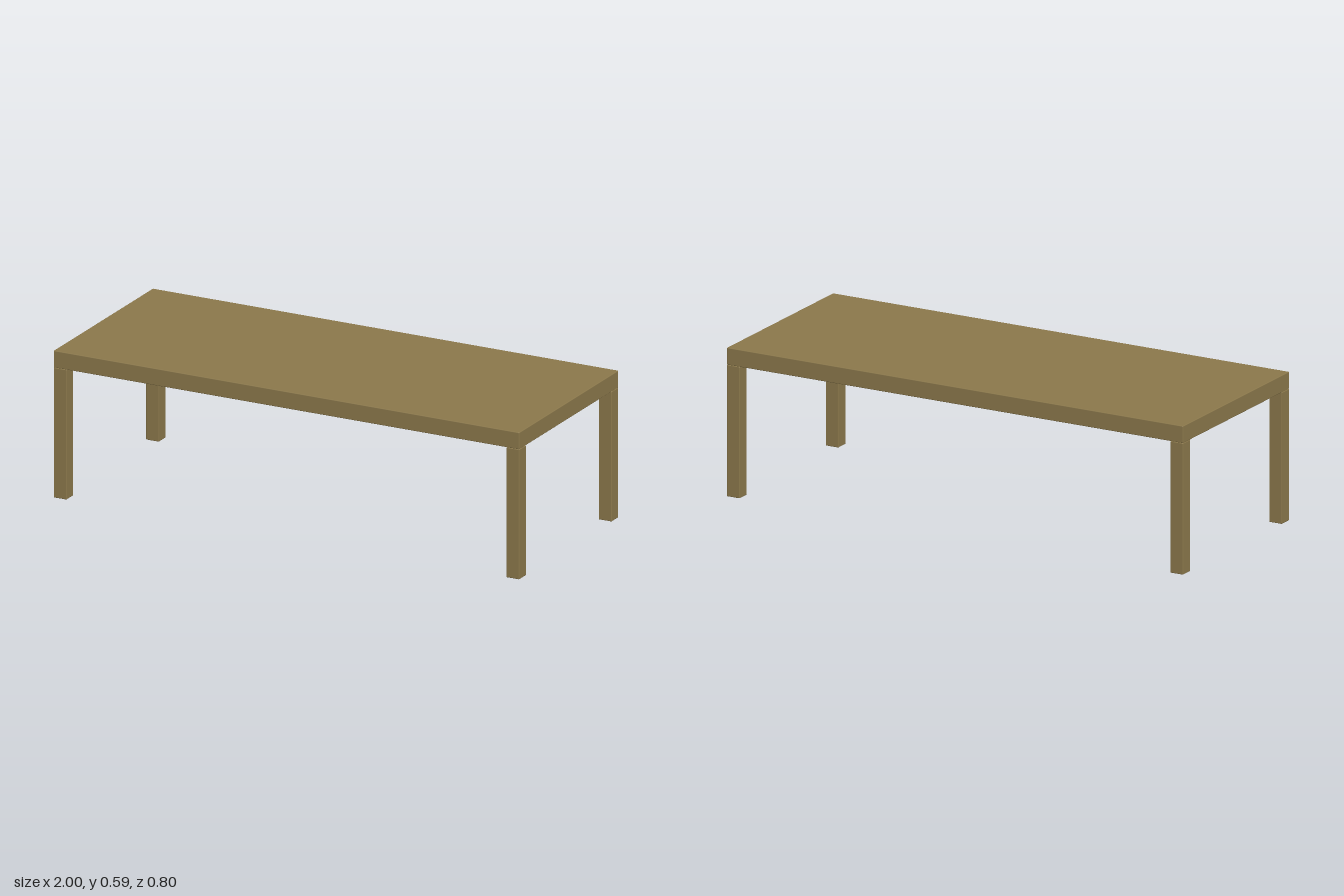
import * as THREE from 'three';
import { RoundedBoxGeometry } from 'three/addons/geometries/RoundedBoxGeometry.js';

const LENGTH = 2, DEPTH = 0.804, HEIGHT = 0.591;
const TOP = 0.068, LEG = 0.056, BEVEL = 0.003;

export function createModel() {
  const table = new THREE.Group();
  table.name = 'table';
  const wood = new THREE.MeshStandardMaterial({ color: 0x8b784b });

  // Slab with finely eased edges
  const top = new THREE.Mesh(new RoundedBoxGeometry(LENGTH, TOP, DEPTH, 2, BEVEL), wood);
  top.name = 'tableTop';
  top.position.y = HEIGHT - TOP / 2;
  table.add(top);

  // Four square legs, flush with the corners of the top
  const legHeight = HEIGHT - TOP;
  const legGeometry = new RoundedBoxGeometry(LEG, legHeight, LEG, 2, BEVEL);
  for (const [xName, x] of [['Left', 1], ['Right', -1]]) {
    for (const [zName, z] of [['front', 1], ['back', -1]]) {
      const leg = new THREE.Mesh(legGeometry, wood);
      leg.name = `${zName}${xName}Leg`;
      leg.position.set(x * (LENGTH - LEG) / 2, legHeight / 2, z * (DEPTH - LEG) / 2);
      table.add(leg);
    }
  }
  return table;
}
